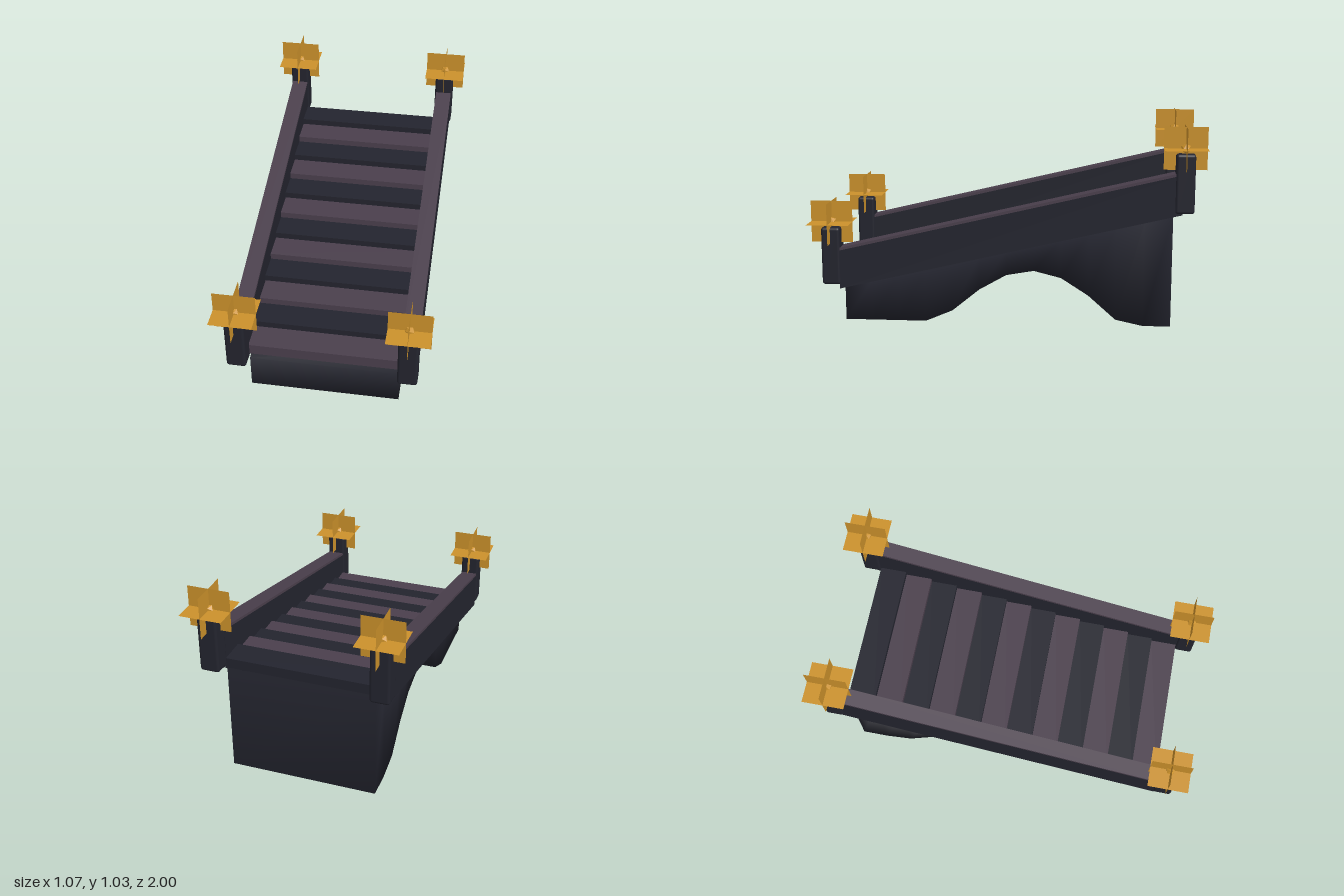
import * as THREE from 'three';
import { mergeVertices } from 'three/addons/utils/BufferGeometryUtils.js';
import { RoundedBoxGeometry } from 'three/addons/geometries/RoundedBoxGeometry.js';

const SLOPE = -0.238;   // rise of the stairway along z
const STEPS = 12;
const RUN = 1.685;      // total length of the stairway

export function createModel() {
  const mat = (name, color) => {
    const m = new THREE.MeshStandardMaterial({ color });
    m.name = name;
    return m;
  };
  const dark = mat('dark slate', 0x23242e);
  const plum = mat('plum grey', 0x4a3f4c);
  const gold = mat('gold', 0xcb912b);
  gold.side = THREE.DoubleSide;

  const model = new THREE.Group();
  model.name = 'stairway';
  const add = (parent, name, geometry, material, x = 0, y = 0, z = 0) => {
    const mesh = new THREE.Mesh(geometry, material);
    mesh.name = name;
    mesh.position.set(x, y, z);
    parent.add(mesh);
    return mesh;
  };

  // Arched base: a box whose top follows the slope and whose underside follows a profile
  const under = [0, 0, 0, 0, 0.06, 0.175, 0.255, 0.28, 0.245, 0.155, 0.03, 0, 0];
  let base = new THREE.BoxGeometry(0.76, 1, RUN, 1, 1, STEPS);
  const p = base.attributes.position;
  for (let i = 0; i < p.count; i++) {
    const z = p.getZ(i);
    const k = Math.round((RUN / 2 - z) / (RUN / STEPS));
    p.setY(i, p.getY(i) > 0 ? 0.382 + SLOPE * z : under[k]);
  }
  base.deleteAttribute('normal');
  base.deleteAttribute('uv');
  base = mergeVertices(base);
  base.computeVertexNormals();
  add(model, 'archedBase', base, dark);

  // Alternating treads
  const treads = new THREE.Group();
  treads.name = 'treads';
  model.add(treads);
  const depth = RUN / STEPS;
  const tread = new THREE.BoxGeometry(0.78, 0.058, depth);
  for (let i = 0; i < STEPS; i++) {
    add(treads, 'tread', tread, i % 2 ? dark : plum,
      0, 0.241 + i * 0.0332, RUN / 2 - depth * (i + 0.5));
  }

  // Side rails: boxes sheared along the slope, with a lighter cap
  const sheared = (w, h, d) => {
    const g = new THREE.BoxGeometry(w, h, d);
    g.applyMatrix4(new THREE.Matrix4().set(
      1, 0, 0, 0, 0, 1, SLOPE, 0, 0, 0, 1, 0, 0, 0, 0, 1));
    g.computeVertexNormals();
    return g;
  };
  const railBody = sheared(0.085, 0.2, 1.73);
  const railCap = sheared(0.085, 0.014, 1.73);

  // Posts with a bead and a star of three crossed plates
  const postGeo = new RoundedBoxGeometry(0.1, 0.298, 0.096, 2, 0.014);
  const beadGeo = new THREE.IcosahedronGeometry(0.026, 0);
  const plate = new THREE.PlaneGeometry(0.214, 0.214);

  for (const side of [-1, 1]) {
    const x = 0.4265 * side;
    const rail = new THREE.Group();
    rail.name = side > 0 ? 'leftRail' : 'rightRail';
    rail.position.set(x, 0.391 - SLOPE * 0.016, -0.016);
    rail.position.y = 0.391 + SLOPE * -0.016;
    model.add(rail);
    add(rail, 'railBody', railBody, dark, 0, 0.1, 0);
    add(rail, 'railCap', railCap, plum, 0, 0.207, 0);

    for (const end of [1, -1]) {
      const post = new THREE.Group();
      post.name = end > 0 ? 'frontPost' : 'backPost';
      post.position.set(x, end > 0 ? 0.21 : 0.606, 0.892 * end);
      model.add(post);
      add(post, 'postBody', postGeo, dark, 0, 0.149, 0);
      add(post, 'bead', beadGeo, gold, 0, 0.322, 0);
      const rotations = [[0, 0, 0], [0, Math.PI / 2, 0], [-Math.PI / 2, 0, 0]];
      for (const r of rotations) {
        add(post, 'starPlate', plate, gold, 0, 0.322, 0).rotation.set(...r);
      }
    }
  }
  return model;
}
